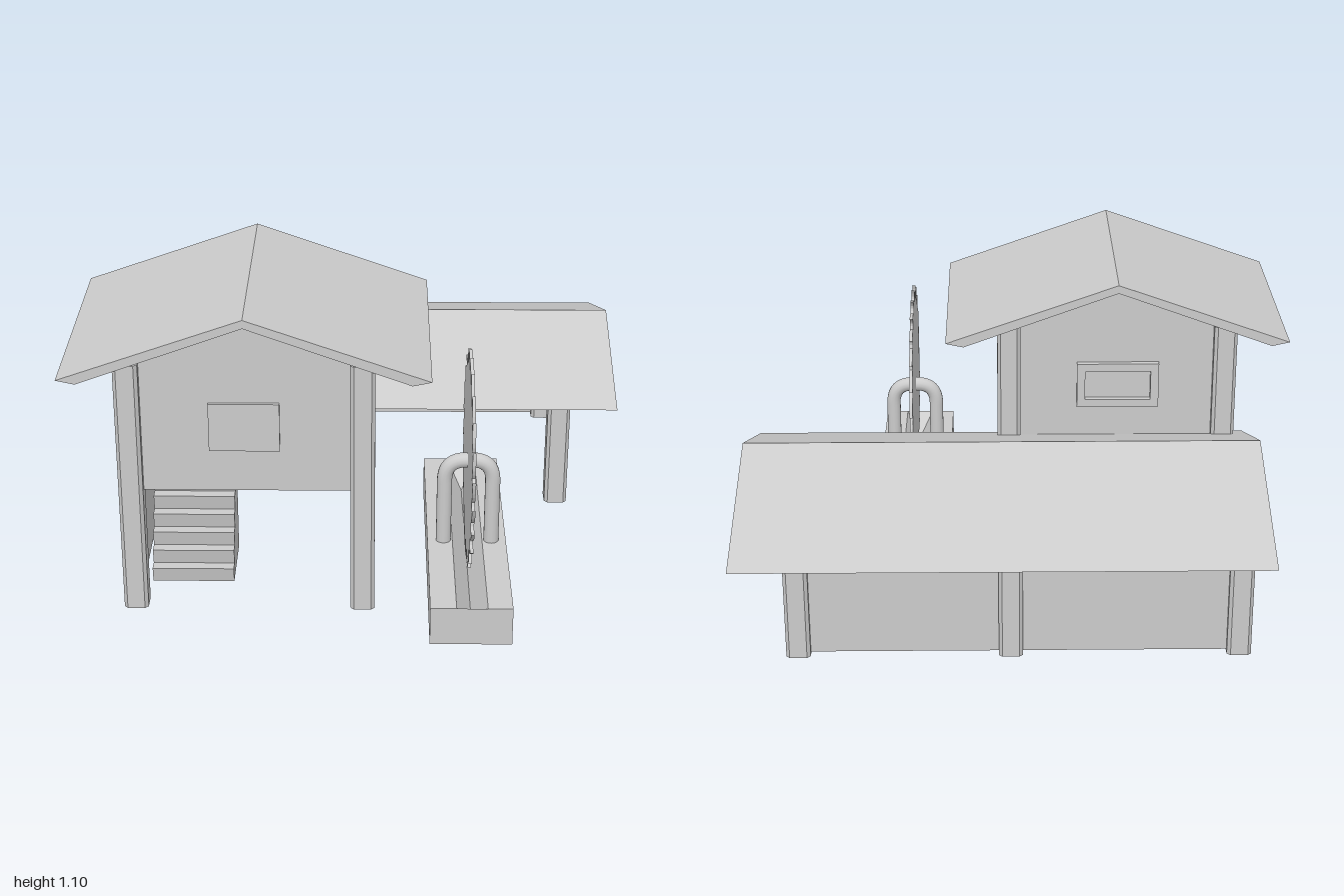
import * as THREE from 'three';

const mat = new THREE.MeshStandardMaterial({ color: 0xcccccc, flatShading: true, side: THREE.DoubleSide });
const smoothMat = new THREE.MeshStandardMaterial({ color: 0xcccccc });

export function createModel() {
  const model = new THREE.Group();

  const add = (name, geometry, material = mat) => {
    const mesh = new THREE.Mesh(geometry, material);
    mesh.name = name;
    model.add(mesh);
    return mesh;
  };
  // Box given by its minimum and maximum corners
  const box = (name, x0, x1, y0, y1, z0, z1) => {
    const g = new THREE.BoxGeometry(x1 - x0, y1 - y0, z1 - z0);
    g.translate((x0 + x1) / 2, (y0 + y1) / 2, (z0 + z1) / 2);
    return add(name, g);
  };
  const polygon = (pts) => new THREE.Shape(pts.map(([x, y]) => new THREE.Vector2(x, y)));
  const extrude = (shape, depth) =>
    new THREE.ExtrudeGeometry(shape, { depth, bevelEnabled: false, curveSegments: 5 });
  // Profile in x,y pushed along z
  const alongZ = (name, pts, z0, z1) => add(name, extrude(polygon(pts), z1 - z0).translate(0, 0, z0));
  // Profile in z,y pushed along x
  const alongX = (name, shape, x0, x1) =>
    add(name, extrude(shape, x1 - x0).rotateY(-Math.PI / 2).translate(x1, 0, 0));

  // Posts with chamfered corners
  const post = (name, x, z, height) => {
    const h = 0.042, c = 0.03;
    const section = polygon([[h, -c], [h, c], [c, h], [-c, h], [-h, c], [-h, -c], [-c, -h], [c, -h]]);
    add(name, extrude(section, height).rotateX(-Math.PI / 2).translate(x, 0, z));
  };
  const postX = [-0.75, 0.04];
  for (const x of postX) {
    post('towerFrontPost', x, 0.74, 0.93);
    post('towerBackPost', x, -0.05, 0.93);
    post('shedBackPost', x, -0.79, 0.46);
  }
  post('shedBackPost', 0.775, -0.79, 0.46);
  post('shedFrontPost', 0.775, -0.05, 0.46);

  // Raised room: gable walls, side wall, floor
  const gable = [[-0.75, 0.45], [0.04, 0.45], [0.04, 0.925], [-0.355, 1.07], [-0.75, 0.925]];
  alongZ('towerFrontWall', gable, 0.72, 0.745);
  alongZ('towerBackWall', gable, -0.055, -0.03);
  box('towerSideWall', 0.025, 0.05, 0.45, 0.925, -0.05, 0.74);
  box('towerFloor', -0.75, 0.04, 0.45, 0.465, -0.05, 0.74);
  box('towerOuterWall', -0.765, -0.74, 0.01, 0.925, -0.05, 0.74);

  // Window panel on the front, framed window on the back
  box('frontWindow', -0.48, -0.24, 0.605, 0.78, 0.74, 0.757);
  const frame = polygon([[-0.51, 0.615], [-0.21, 0.615], [-0.21, 0.785], [-0.51, 0.785]]);
  frame.holes.push(polygon([[-0.48, 0.645], [-0.24, 0.645], [-0.24, 0.755], [-0.48, 0.755]]));
  add('backWindowFrame', extrude(frame, 0.025).translate(0, 0, -0.078));

  // Roofs: chevron profiles with ends cut on the slant
  alongZ('towerRoof', [[-0.98, 0.88], [-0.915, 0.866], [-0.355, 1.07], [0.205, 0.866],
    [0.27, 0.88], [-0.355, 1.10]], -0.11, 0.79);
  alongX('shedRoof', polygon([[-1.0, 0.418], [-0.93, 0.402], [-0.42, 0.597], [0.03, 0.423],
    [0.09, 0.443], [-0.42, 0.63]]), -0.845, 0.98);

  // Shed walls and beam; its front and one end are open
  box('shedBackWall', -0.75, 0.775, 0.01, 0.455, -0.805, -0.78);
  alongX('shedGableWall', polygon([[-0.79, 0.01], [-0.05, 0.01], [-0.05, 0.455], [-0.42, 0.6], [-0.79, 0.455]]),
    -0.765, -0.74);
  box('shedFrontBeam', 0.04, 0.775, 0.39, 0.45, -0.065, -0.035);

  // Solid stair block with sloping risers
  const steps = 8, rise = 0.45 / steps, run = 0.25 / steps;
  const stair = [[0.34, 0], [0.595, 0]];
  for (let i = 0; i < steps; i++) {
    const z = 0.605 - i * run;
    stair.push([z, (i + 1) * rise], [z - run - 0.01, (i + 1) * rise]);
  }
  stair.push([0.34, 0.45]);
  alongX('stairs', polygon(stair), -0.71, -0.42);

  // Saw bed with a V-shaped trough, closed by sloping ends
  const cx = 0.412, w = 0.053, top = 0.14, deep = 0.08;
  alongZ('sawBed', [[0.27, 0], [0.55, 0], [0.55, top], [cx + w, top], [cx, top - deep],
    [cx - w, top], [0.27, top]], -0.1, 1.0);
  for (const [z, turn] of [[1.0, 0], [-0.1, Math.PI]]) {
    const g = new THREE.BufferGeometry();
    g.setAttribute('position', new THREE.Float32BufferAttribute([
      -w, 0, 0, 0, -deep, 0, w, 0, 0,
      -w, 0, 0, w, 0, 0, 0, -deep, -0.11], 3));
    g.computeVertexNormals();
    const end = add('troughEnd', g);
    end.position.set(cx, top, z);
    end.rotation.y = turn;
  }

  // Circular blade with hooked teeth
  const teeth = 24, step = (Math.PI * 2) / teeth, blade = new THREE.Shape();
  const polar = (r, a) => [0.53 + r * Math.cos(a), 0.47 + r * Math.sin(a)];
  blade.moveTo(...polar(0.33, 0));
  for (let i = 0; i < teeth; i++) {
    const a = i * step;
    blade.quadraticCurveTo(...polar(0.365, a + 0.3 * step), ...polar(0.384, a + 0.95 * step));
    blade.quadraticCurveTo(...polar(0.343, a + 0.6 * step), ...polar(0.33, a + step));
  }
  alongX('sawBlade', blade, cx - 0.006, cx + 0.006);

  // Arched pipe holding the blade
  const p = (x, y) => new THREE.Vector3(cx + x, y, 0.53);
  const arch = new THREE.CurvePath();
  arch.add(new THREE.LineCurve3(p(-0.085, 0.1), p(-0.085, 0.38)));
  arch.add(new THREE.QuadraticBezierCurve3(p(-0.085, 0.38), p(-0.085, 0.46), p(-0.01, 0.46)));
  arch.add(new THREE.LineCurve3(p(-0.01, 0.46), p(0.01, 0.46)));
  arch.add(new THREE.QuadraticBezierCurve3(p(0.01, 0.46), p(0.085, 0.46), p(0.085, 0.38)));
  arch.add(new THREE.LineCurve3(p(0.085, 0.38), p(0.085, 0.1)));
  add('bladeArch', new THREE.TubeGeometry(arch, 60, 0.027, 14), smoothMat);

  return model;
}
